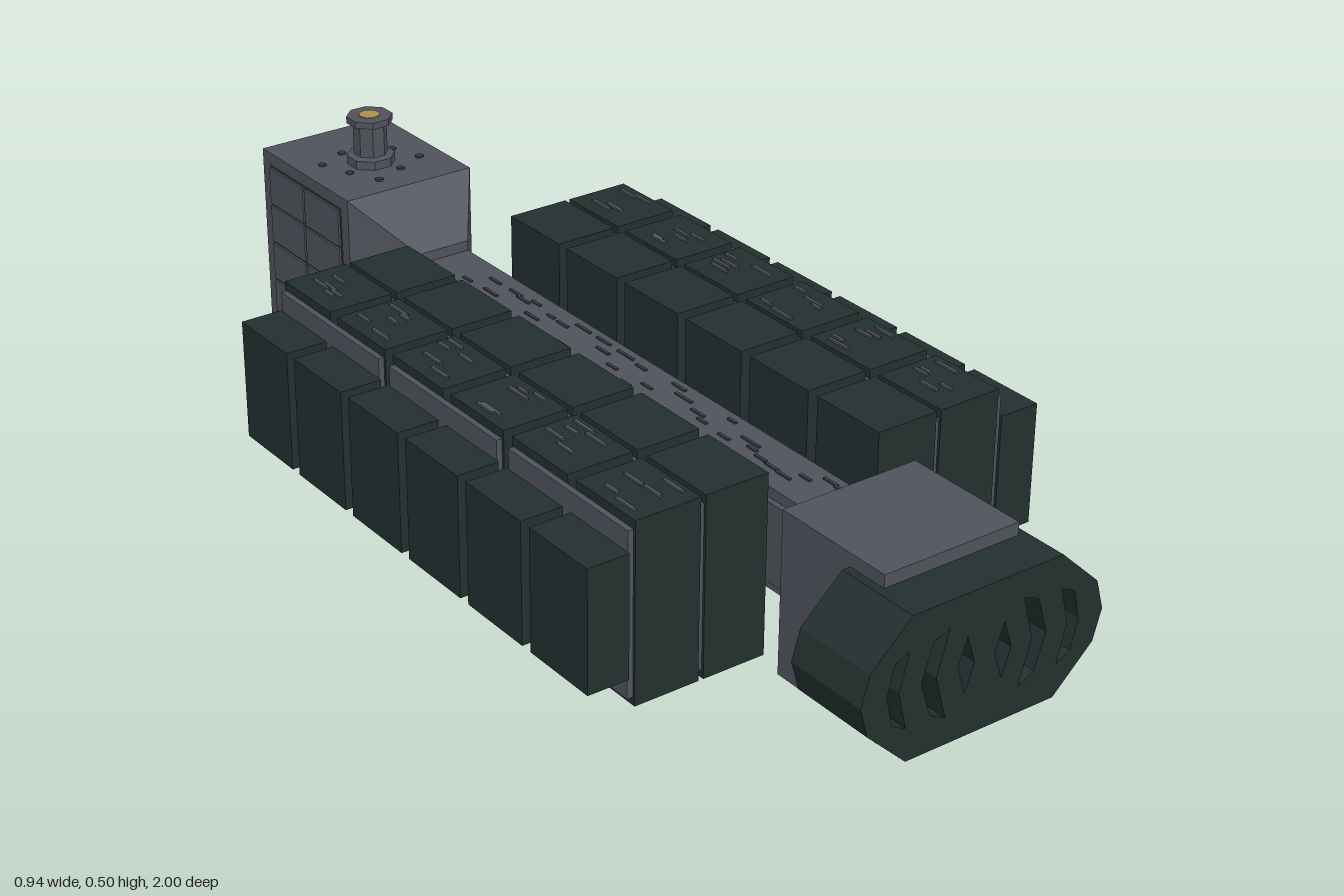
import * as THREE from 'three';

const mat = (name, color) => {
  const m = new THREE.MeshStandardMaterial({ color });
  m.name = name;
  return m;
};

export function createModel() {
  const green = mat('dark green hull', 0x22302f);
  const grey = mat('grey hull', 0x50535c);
  const dark = mat('dark grey fittings', 0x393a41);
  const gold = mat('gold lamps', 0xb08f50);
  const model = new THREE.Group();

  const add = (name, geo, material, x = 0, y = 0, z = 0, parent = model) => {
    const m = new THREE.Mesh(geo, material);
    m.name = name;
    m.position.set(x, y, z);
    parent.add(m);
    return m;
  };
  // Box given by its limits
  const box = (name, material, x0, x1, y0, y1, z0, z1, parent) =>
    add(name, new THREE.BoxGeometry(Math.abs(x1 - x0), y1 - y0, z1 - z0), material,
      (x0 + x1) / 2, (y0 + y1) / 2, (z0 + z1) / 2, parent);
  // Box whose back and front ends differ: [z, half width, bottom, top]
  const taper = (name, material, a, b) => {
    const g = new THREE.BoxGeometry(2, 1, 1);
    const p = g.attributes.position;
    for (let i = 0; i < p.count; i++) {
      const [z, w, lo, hi] = p.getZ(i) < 0 ? a : b;
      p.setXYZ(i, p.getX(i) * w, p.getY(i) < 0 ? lo : hi, z);
    }
    g.computeVertexNormals();
    return add(name, g, material);
  };
  let seed = 7;
  const rnd = () => (seed = (seed * 16807) % 2147483647) / 2147483647;

  // Spine with side rails and surface strips
  box('spine', grey, -0.055, 0.055, 0.1, 0.29, -0.53, 0.68);
  for (const s of [-1, 1]) box('spineRail', grey, s * 0.05, s * 0.065, 0.12, 0.27, -0.48, 0.63);
  for (let i = 0; i < 34; i++) {
    const x = (rnd() - 0.5) * 0.085, z = -0.46 + i * 0.032, l = 0.02 + rnd() * 0.03;
    box('spineStrip', dark, x - 0.003, x + 0.003, 0.289, 0.293, z, z + l);
  }

  // Cargo containers, the plates between them and the struts, on both sides
  const columns = [[0.115, 0.24, 0.025, 0.367], [0.25, 0.378, 0.025, 0.367], [0.389, 0.47, 0.08, 0.312]];
  for (const s of [-1, 1]) {
    const side = new THREE.Group();
    side.name = s > 0 ? 'leftCargo' : 'rightCargo';
    model.add(side);
    for (let r = 0; r < 6; r++) {
      const z = -0.386 + r * 0.182;
      for (const [x0, x1, y0, y1] of columns)
        box('container', green, s * x0, s * x1, y0, y1, z - 0.079, z + 0.079, side);
      for (let k = 0; k < 5; k++) {
        const x = s * (0.262 + rnd() * 0.1), d = z - 0.07 + rnd() * 0.08;
        box('containerStrip', grey, x - 0.003, x + 0.003, 0.366, 0.371, d, d + 0.025 + rnd() * 0.03, side);
      }
    }
    for (let i = 0; i < 3; i++) {
      const z = -0.295 + i * 0.364;
      box('outerPlate', grey, s * 0.378, s * 0.389, 0.04, 0.35, z - 0.165, z + 0.165, side);
      box('innerPlate', grey, s * 0.24, s * 0.25, 0.04, 0.35, z - 0.165, z + 0.165, side);
    }
    for (let i = 0; i < 4; i++) {
      const strut = add('strut', new THREE.CylinderGeometry(0.011, 0.011, 0.08, 8), dark, s * 0.085, 0.2, -0.3 + i * 0.228, side);
      strut.rotation.z = Math.PI / 2;
    }
  }

  // Neck behind the head
  box('neck', grey, -0.138, 0.138, 0.03, 0.337, 0.668, 0.915);

  // Head: solid back and a front slab pierced by curved slots
  const half = [[0.154, 0.313], [0.234, 0.238], [0.25, 0.182], [0.234, 0.126], [0.154, 0.05]];
  const outline = () => new THREE.Shape(
    [...half, ...half.map(([x, y]) => [-x, y]).reverse()].map(([x, y]) => new THREE.Vector2(x, y)).reverse());
  const extrude = (shape, depth) => new THREE.ExtrudeGeometry(shape, { depth, bevelEnabled: false });
  const slots = [
    [[0.038, 0.234], [0.055, 0.182], [0.038, 0.13], [0.021, 0.182]],
    [[0.076, 0.262], [0.108, 0.25], [0.129, 0.182], [0.108, 0.117], [0.076, 0.1], [0.099, 0.182]],
    [[0.157, 0.25], [0.185, 0.237], [0.198, 0.182], [0.185, 0.127], [0.157, 0.112], [0.174, 0.182]],
  ];
  const front = outline();
  for (const s of [-1, 1]) for (const slot of slots) {
    const pts = slot.map(([x, y]) => new THREE.Vector2(x * s, y));
    front.holes.push(new THREE.Path(pts));
    add('slotLamp', extrude(new THREE.Shape(pts), 0.005), gold, 0, 0, 0.918);
  }
  add('headBack', extrude(outline(), 0.085), green, 0, 0, 0.835);
  add('headFront', extrude(front, 0.08), green, 0, 0, 0.92);

  // Engine block with tapered shoulder and stern
  taper('shoulder', grey, [-0.64, 0.138, 0.022, 0.4], [-0.525, 0.055, 0.095, 0.31]);
  box('engineBlock', grey, -0.138, 0.138, 0.022, 0.4, -0.957, -0.64);
  taper('stern', grey, [-1, 0.08, 0.06, 0.338], [-0.957, 0.097, 0.035, 0.36]);
  box('sternPanel', dark, -0.06, 0.06, 0.085, 0.31, -1, -0.998);
  box('sternPanelFace', grey, -0.056, 0.056, 0.089, 0.306, -1.0015, -0.999);

  // Side panels in a grid of two by four
  for (const s of [-1, 1]) {
    box('panelBacking', dark, s * 0.135, s * 0.139, 0.05, 0.375, -0.93, -0.665);
    for (let c = 0; c < 2; c++) for (let r = 0; r < 4; r++) {
      const z = -0.927 + c * 0.132, y = 0.053 + r * 0.081;
      box('sidePanel', grey, s * 0.136, s * 0.143, y, y + 0.075, z, z + 0.126);
    }
    box('foot', grey, s * 0.095, s * 0.107, 0, 0.024, -0.825, -0.808);
  }

  // Mast on the engine block, ringed by bolts
  const profile = [[0, 0.398], [0.047, 0.398], [0.047, 0.417], [0.033, 0.42], [0.033, 0.483],
    [0.045, 0.484], [0.045, 0.497], [0, 0.497]].map(([x, y]) => new THREE.Vector2(x, y));
  const mast = new THREE.LatheGeometry(profile, 8, Math.PI / 8).toNonIndexed();
  mast.computeVertexNormals();
  add('mast', mast, grey, 0, 0, -0.778);
  add('mastLamp', new THREE.CylinderGeometry(0.021, 0.021, 0.005, 8), gold, 0, 0.4965, -0.778);
  for (let i = 0; i < 8; i++) {
    const a = (i + 0.5) * Math.PI / 4, r = i % 2 ? 0.07 : 0.095;
    add('bolt', new THREE.CylinderGeometry(0.008, 0.008, 0.008, 6), dark, Math.cos(a) * r, 0.4, -0.778 + Math.sin(a) * r);
  }
  return model;
}
